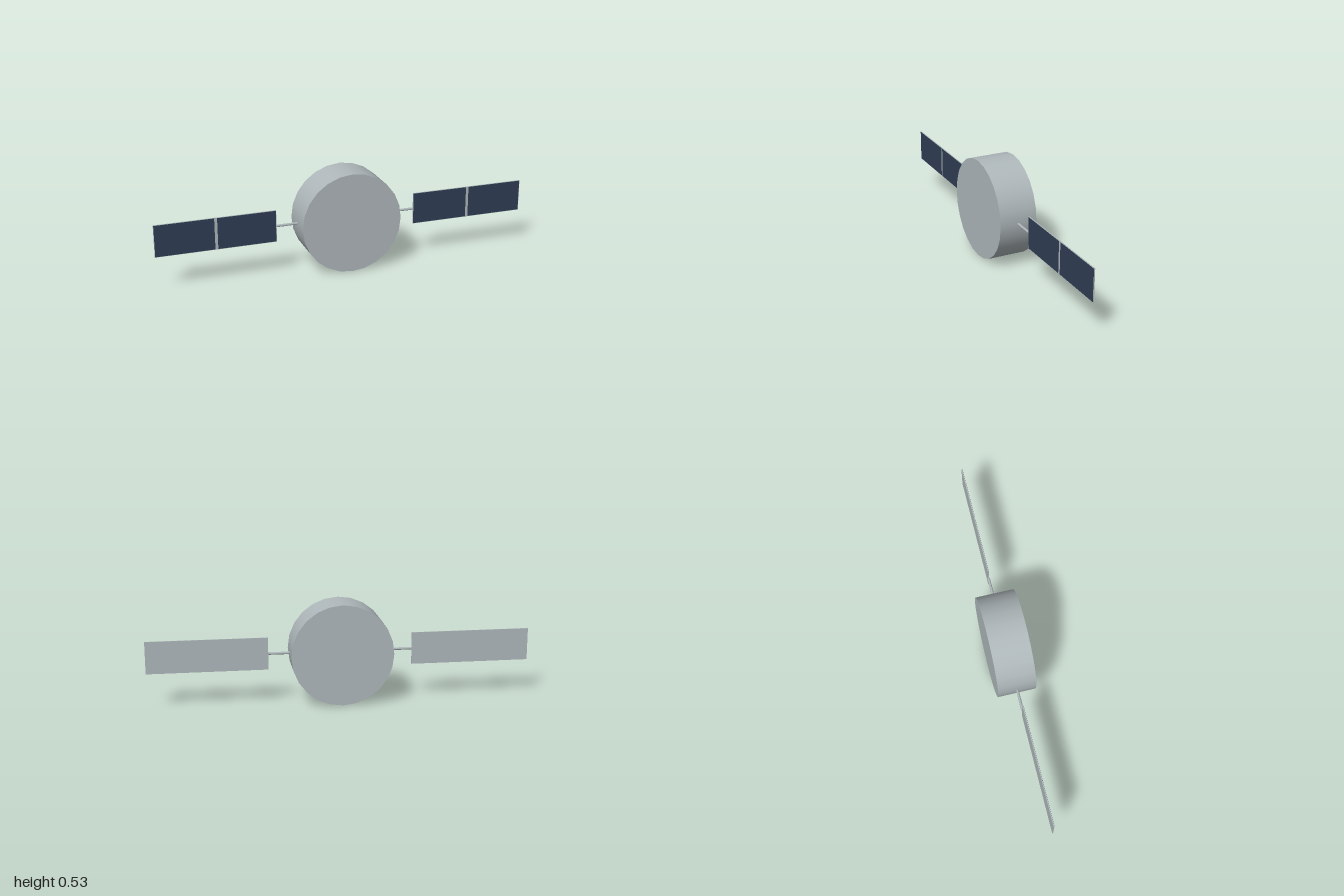
import * as THREE from 'three';

export function createModel() {
  const model = new THREE.Group();
  const metal = new THREE.MeshStandardMaterial({ name: 'grey metal', color: 0xafb8bb });
  const cells = new THREE.MeshStandardMaterial({ name: 'navy solar cells', color: 0x2f3e54 });
  const centreY = 0.265;

  const add = (parent, name, geometry, material, x, y, z) => {
    const mesh = new THREE.Mesh(geometry, material);
    mesh.name = name;
    mesh.position.set(x, y, z);
    parent.add(mesh);
  };

  // Drum body, its axis pointing forward
  const drum = new THREE.CylinderGeometry(0.265, 0.265, 0.2, 24).rotateX(Math.PI / 2);
  add(model, 'drumBody', drum, metal, 0, centreY, 0);

  // A boom and a solar wing on each side
  for (const side of [1, -1]) {
    const wing = new THREE.Group();
    wing.name = side > 0 ? 'leftWing' : 'rightWing';
    wing.position.y = centreY;
    model.add(wing);

    const boom = new THREE.CylinderGeometry(0.007, 0.007, 0.125, 8).rotateZ(Math.PI / 2);
    add(wing, 'boom', boom, metal, side * 0.3125, 0, 0);
    add(wing, 'panel', new THREE.BoxGeometry(0.625, 0.17, 0.005), metal, side * 0.6875, 0, 0);

    // Two cell plates on the front, with a bare strip between them
    for (const x of [0.5285, 0.8465]) {
      add(wing, 'solarCells', new THREE.BoxGeometry(0.303, 0.166, 0.001), cells, side * x, 0, 0.0028);
    }
  }
  return model;
}
